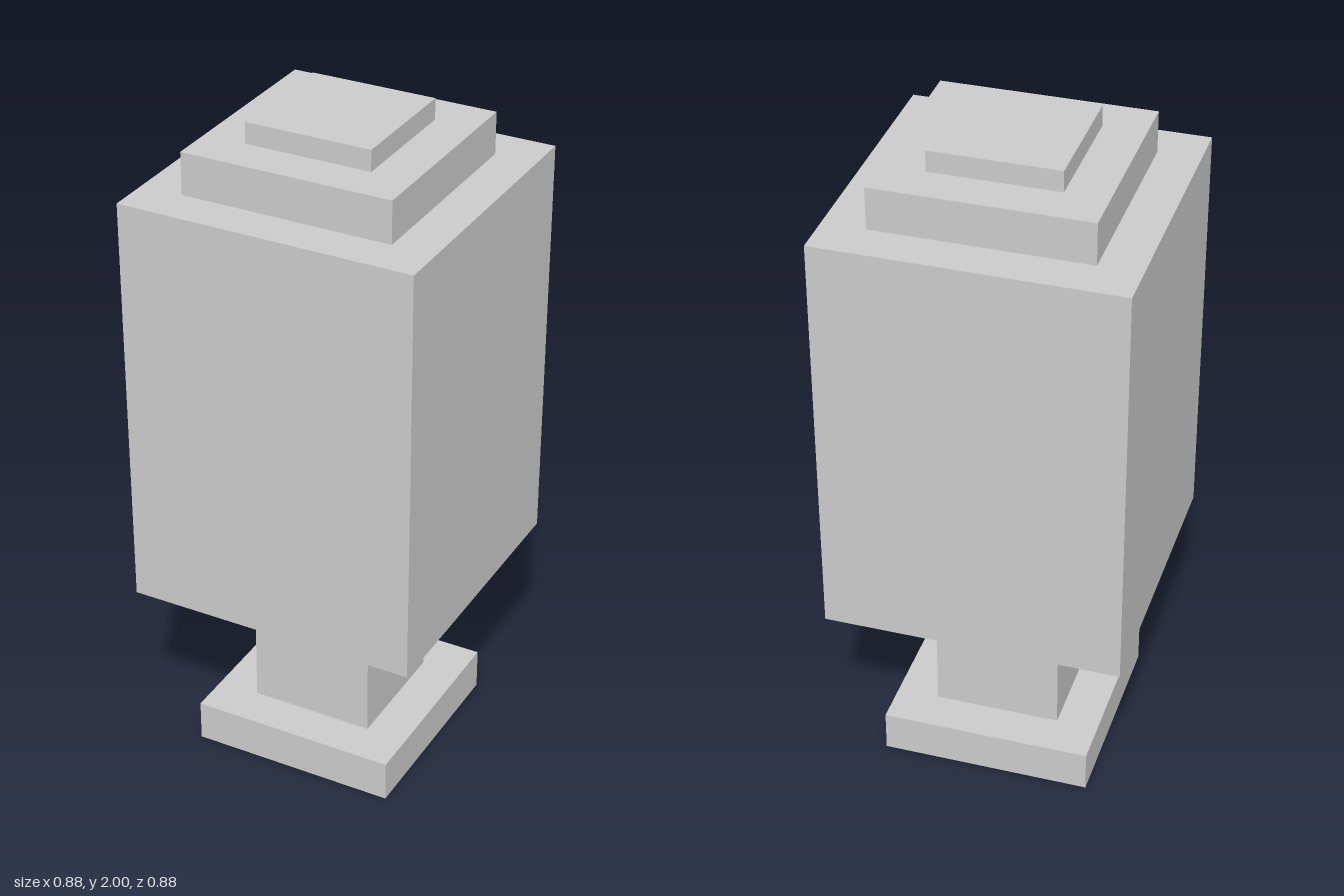
import * as THREE from 'three';

export function createModel() {
  const group = new THREE.Group();
  const material = new THREE.MeshStandardMaterial({ color: 0xcccccc, flatShading: true });

  // Stacked square blocks: name, width, bottom, top
  const blocks = [
    ['base', 0.625, 0, 0.125],
    ['stem', 0.375, 0.125, 0.5675],
    ['body', 0.875, 0.5675, 1.8125],
    ['shoulder', 0.625, 1.8125, 1.9375],
    ['cap', 0.375, 1.9375, 2],
  ];

  for (const [name, width, bottom, top] of blocks) {
    const mesh = new THREE.Mesh(new THREE.BoxGeometry(width, top - bottom, width), material);
    mesh.name = name;
    mesh.position.y = (bottom + top) / 2;
    group.add(mesh);
  }
  return group;
}
